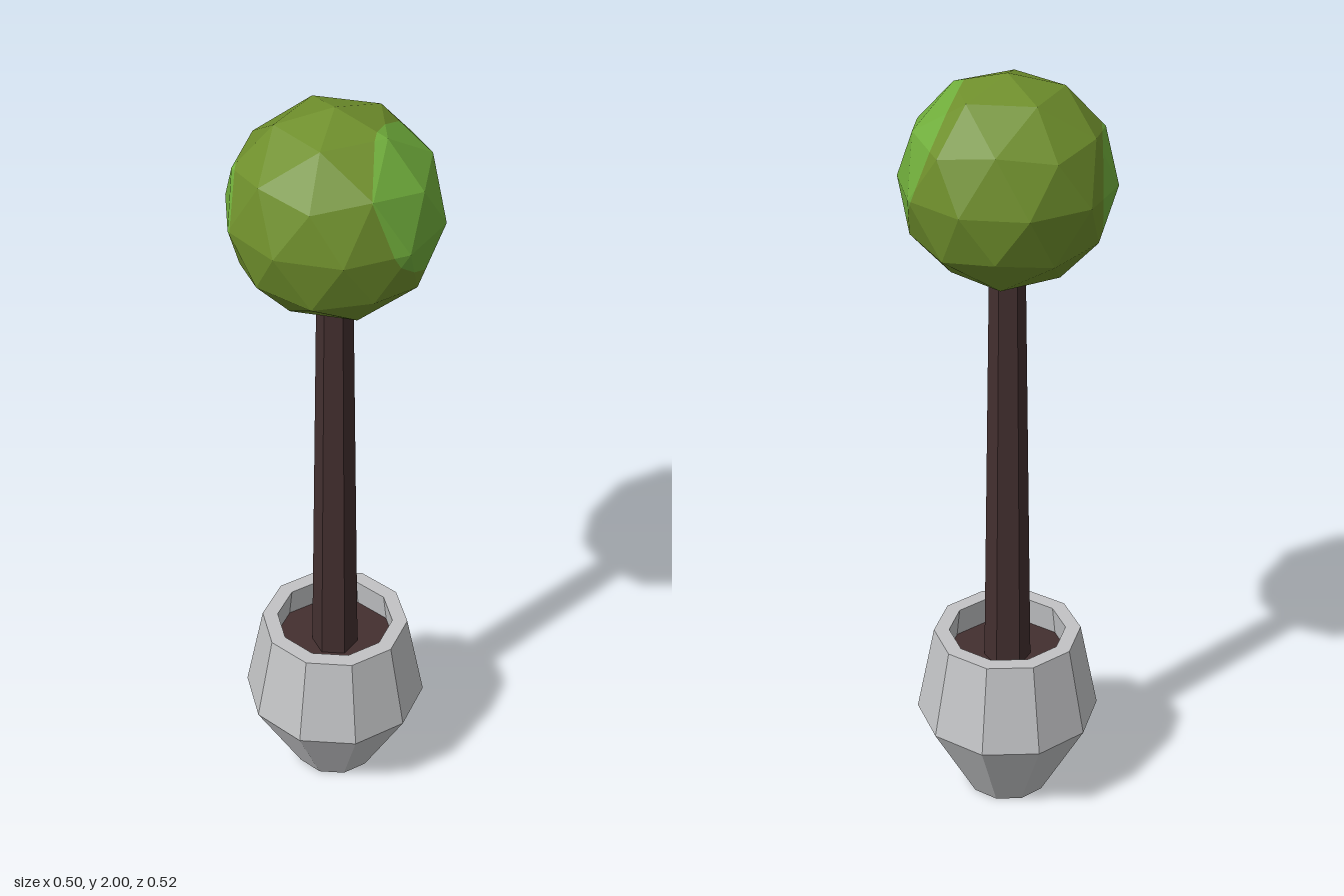
import * as THREE from 'three';

const DEG = Math.PI / 180;
const mat = (name, color) => Object.assign(new THREE.MeshStandardMaterial({ color }), { name });

// Gives every face its own flat normal
function faceted(geometry) {
  const g = geometry.index ? geometry.toNonIndexed() : geometry;
  g.computeVertexNormals();
  return g;
}

// Cuts a convex polygon by the plane n.p = d and keeps the part on the given side
function clip(poly, { n, d }, side) {
  const out = [];
  poly.forEach((a, i) => {
    const b = poly[(i + 1) % poly.length];
    const da = side * (n.dot(a) - d), db = side * (n.dot(b) - d);
    if (da >= 0) out.push(a);
    if (da * db < 0) out.push(a.clone().lerp(b, da / (da - db)));
  });
  return out;
}

function polygonsToGeometry(polys) {
  const points = [];
  for (const p of polys) {
    for (let i = 1; i < p.length - 1; i++) points.push(p[0], p[i], p[i + 1]);
  }
  return faceted(new THREE.BufferGeometry().setFromPoints(points));
}

export function createModel() {
  const model = new THREE.Group();
  const potGrey = mat('potGrey', 0xc2c3c5);
  const bark = mat('barkBrown', 0x432f2f);
  const leaf = mat('leafOlive', 0x6f8f2c);
  const lightLeaf = mat('leafBright', 0x70ad3b);

  const add = (name, geometry, material, y = 0) => {
    const mesh = new THREE.Mesh(geometry, material);
    mesh.name = name;
    mesh.position.y = y;
    model.add(mesh);
  };

  // Ten-sided pot with a thick rim and hollow top
  const profile = [[0, 0], [0.11, 0], [0.24, 0.24], [0.193, 0.48], [0.153, 0.48], [0.165, 0.38]]
    .map(([r, y]) => new THREE.Vector2(r, y));
  add('pot', faceted(new THREE.LatheGeometry(profile, 10, 9 * DEG)), potGrey);

  // Soil disc inside the pot
  add('soil', faceted(new THREE.CylinderGeometry(0.162, 0.162, 0.02, 10, 1, false, 9 * DEG)), bark, 0.39);

  // Tapered six-sided trunk
  add('trunk', faceted(new THREE.CylinderGeometry(0.044, 0.061, 1.14, 6, 1, false, 45 * DEG)), bark, 0.96);

  // Faceted crown with a vertex at the top, split into olive and bright patches
  const ball = new THREE.IcosahedronGeometry(0.262, 1);
  ball.rotateZ(Math.atan(2 / (1 + Math.sqrt(5)))).rotateY(Math.PI);
  const pos = ball.attributes.position;
  let olive = [];
  for (let i = 0; i < pos.count; i += 3) {
    olive.push([0, 1, 2].map((k) => new THREE.Vector3().fromBufferAttribute(pos, i + k)));
  }
  const caps = [
    { n: new THREE.Vector3(0.5, 0.35, 0.8).normalize(), d: 0.18 },
    { n: new THREE.Vector3(-0.67, 0.02, -0.74).normalize(), d: 0.222 },
  ];
  const bright = [];
  for (const cap of caps) {
    bright.push(...olive.map((p) => clip(p, cap, 1)).filter((p) => p.length > 2));
    olive = olive.map((p) => clip(p, cap, -1)).filter((p) => p.length > 2);
  }
  add('crown', polygonsToGeometry(olive), leaf, 1.738);
  add('crownPatches', polygonsToGeometry(bright), lightLeaf, 1.738);

  return model;
}
